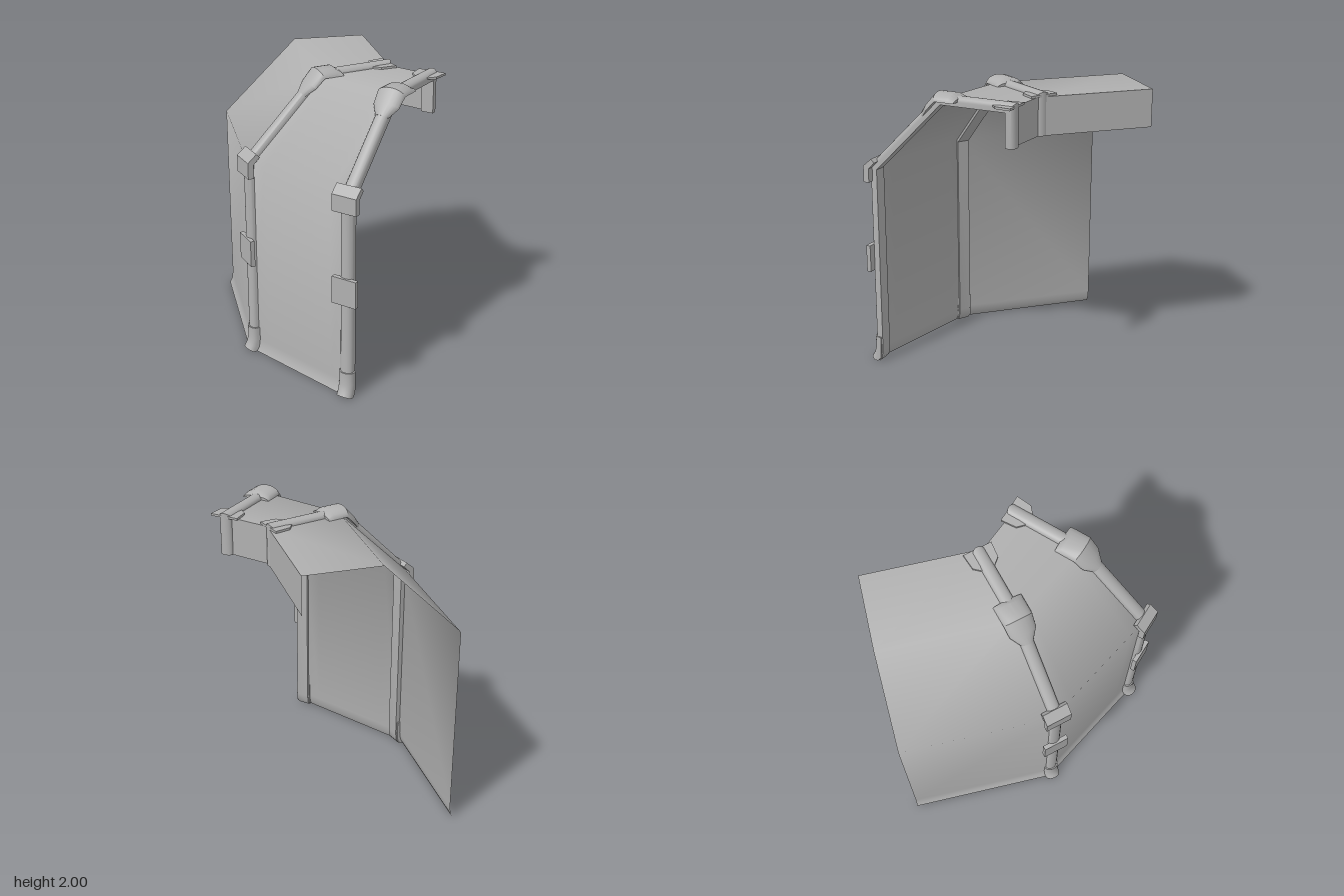
import * as THREE from 'three';
import { toCreasedNormals } from 'three/addons/utils/BufferGeometryUtils.js';

const grey = new THREE.MeshStandardMaterial({ color: 0xb0b0b0, side: THREE.DoubleSide });
grey.name = 'plain grey';

// Arch outline as [distance inward, height]
const PROFILE = [[-0.025, 0], [-0.008, 0.035], [0, 0.09], [0, 1.43], [0.52, 1.95], [1.03, 1.95], [1.03, 1.69]];

// A frame stands at (x, z), turned by angle; d runs inward, w across the rib
const frame = (x, z, degrees) => {
  const a = THREE.MathUtils.degToRad(degrees);
  return (d, y, w = 0) => [
    x + d * Math.cos(a) + w * Math.sin(a), y, z - d * Math.sin(a) + w * Math.cos(a)];
};
const rearRib = frame(-0.61, 0.1, 15);
const frontRib = frame(-0.105, 0.835, 45);

function makeMesh(name, positions, index, crease) {
  const g = new THREE.BufferGeometry();
  g.setAttribute('position', new THREE.Float32BufferAttribute(positions, 3));
  g.setIndex(index);
  const mesh = new THREE.Mesh(toCreasedNormals(g, THREE.MathUtils.degToRad(crease)), grey);
  mesh.name = name;
  return mesh;
}

// Open sheet between arch outlines
function sheet(name, rows) {
  const n = rows[0].length, index = [];
  for (let s = 0; s < rows.length - 1; s++) {
    for (let p = 0; p < n - 1; p++) {
      const a = s * n + p, b = a + n;
      index.push(a, b, b + 1, a, b + 1, a + 1);
    }
  }
  return makeMesh(name, rows.flat(2), index, 60);
}

// Closed bar along stations [d, y, half width, outward depth, inward depth]
function sweep(name, place, stations, round) {
  const steps = round ? 10 : 1, positions = [], index = [];
  const n = steps + 3;
  const dir = (a, b) => new THREE.Vector2(b[0] - a[0], b[1] - a[1]).normalize();
  stations.forEach((s, i) => {
    const before = dir(stations[Math.max(i - 1, 0)], stations[Math.max(i, 1)]);
    const last = stations.length - 1;
    const after = dir(stations[Math.min(i, last - 1)], stations[Math.min(i + 1, last)]);
    const t = before.clone().add(after).normalize();
    const miter = 1 / t.dot(before);
    const [d, y, w, out, inn] = s;
    const ring = [[w, -inn]];
    for (let k = 0; k <= steps; k++) {
      const a = Math.PI * k / steps;
      ring.push([w * Math.cos(a), round ? out * Math.sin(a) : out]);
    }
    ring.push([-w, -inn]);
    for (const [rw, h] of ring) {
      positions.push(...place(d - t.y * h * miter, Math.max(0, y + t.x * h * miter), rw));
    }
  });
  for (let i = 0; i < stations.length - 1; i++) {
    for (let j = 0; j < n; j++) {
      const k = (j + 1) % n, a = i * n, b = a + n;
      index.push(a + j, b + j, b + k, a + j, b + k, a + k);
    }
  }
  const end = (stations.length - 1) * n;
  for (let j = 1; j < n - 1; j++) index.push(0, j, j + 1, end, end + j + 1, end + j);
  return makeMesh(name, positions, index, 35);
}

function buildRib(name, place) {
  const rib = new THREE.Group();
  rib.name = name;
  rib.add(
    sweep('ribBar', place, PROFILE.map(([d, y]) => [d, y, 0.045, 0.033, 0.03]), true),
    // Flared shoe at the floor
    sweep('foot', place, [
      [-0.035, 0, 0.055, 0.045, 0.03], [-0.014, 0.035, 0.055, 0.045, 0.03],
      [0, 0.09, 0.055, 0.042, 0.02], [0, 0.185, 0.055, 0.042, 0.02]], true),
    // Plate half way up the post
    sweep('postClamp', place, [[0, 0.69, 0.09, 0.046, -0.015], [0, 0.88, 0.09, 0.046, -0.015]], false),
    // Bent clamp where the post leans inward
    sweep('kneeClamp', place, [
      [0, 1.335, 0.09, 0.046, -0.005], [0, 1.43, 0.09, 0.046, -0.005],
      [0.045, 1.475, 0.09, 0.04, -0.005]], false),
    // Rounded cover on the upper bend
    sweep('shoulderCap', place, [
      [0.40, 1.83, 0.045, 0.034, 0], [0.455, 1.885, 0.092, 0.045, 0],
      [0.52, 1.95, 0.1, 0.05, 0], [0.62, 1.95, 0.1, 0.05, 0], [0.66, 1.95, 0.1, 0.022, 0]], true),
    // Low bracket at the inner end
    sweep('endBracket', place, [
      [0.91, 1.95, 0.045, 0.012, 0], [0.95, 1.95, 0.09, 0.015, 0], [1.06, 1.95, 0.1, 0.015, 0]], false),
  );
  return rib;
}

export function createModel() {
  const model = new THREE.Group();
  model.name = 'archedWallCorner';

  // Straight wall, cut at its front end along the rear rib
  const panelX = (d) => -0.625 + d * 1.005;
  const slope = Math.tan(THREE.MathUtils.degToRad(15));
  const back = PROFILE.map(([d, y]) => [panelX(d), y, -0.94]);
  const cut = PROFILE.map(([d, y]) => [panelX(d), y, 0.1 - (panelX(d) + 0.61) * slope]);
  model.add(sheet('straightWall', [back, cut]));

  // Turning wall between the ribs
  const start = PROFILE.map(([d, y]) => rearRib(d, y));
  const finish = PROFILE.map(([d, y]) => frontRib(d, y));
  const rows = [];
  for (let i = 0; i <= 6; i++) {
    rows.push(start.map((p, k) => p.map((v, c) => THREE.MathUtils.lerp(v, finish[k][c], i / 6))));
  }
  model.add(sheet('turningWall', rows));

  model.add(buildRib('rearRib', rearRib), buildRib('frontRib', frontRib));
  return model;
}
